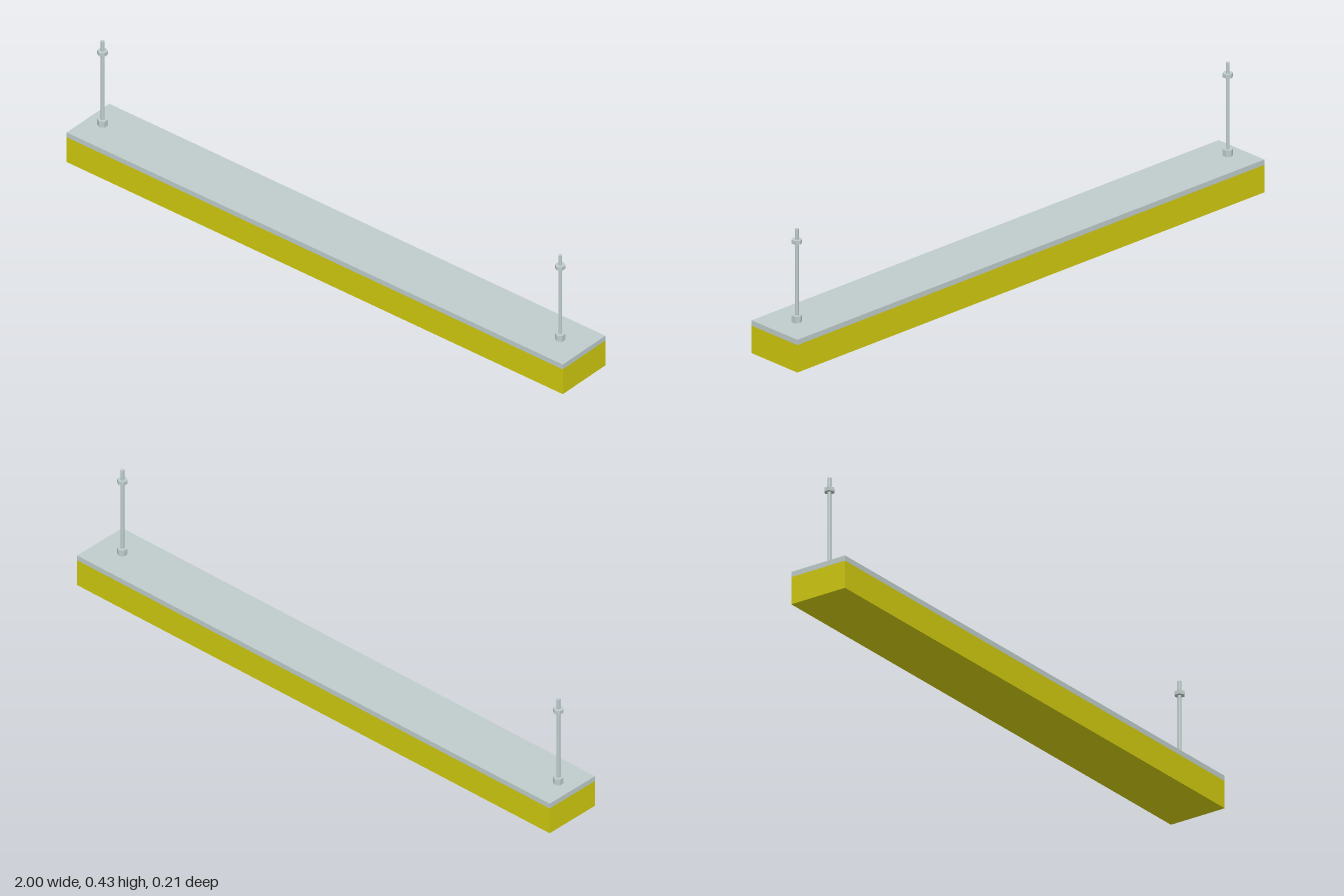
import * as THREE from 'three';

export function createModel() {
  const model = new THREE.Group();
  model.name = 'suspendedBeam';
  const yellow = new THREE.MeshStandardMaterial({ color: 0xcfc90e });
  yellow.name = 'yellow';
  const steel = new THREE.MeshStandardMaterial({ color: 0xbecccb });
  steel.name = 'paleSteel';

  // Place a geometry so that it spans y0 to y1
  const add = (parent, name, geometry, material, y0, y1) => {
    const mesh = new THREE.Mesh(geometry, material);
    mesh.name = name;
    mesh.position.y = (y0 + y1) / 2;
    parent.add(mesh);
  };
  const slab = (name, material, y0, y1) =>
    add(model, name, new THREE.BoxGeometry(2, y1 - y0, 0.206), material, y0, y1);

  // Beam body with its steel top plate
  slab('beamBody', yellow, 0, 0.093);
  slab('topPlate', steel, 0.093, 0.111);

  // Hexagonal nuts have corners along z and flat faces along x
  const hexNut = (parent, name, y0, y1) => {
    const geometry = new THREE.CylinderGeometry(0.017, 0.017, y1 - y0, 6).toNonIndexed();
    geometry.computeVertexNormals();
    add(parent, name, geometry, steel, y0, y1);
  };

  // Two hanger rods, each with a tall base nut and a thin upper nut
  for (const [name, x] of [['rightHanger', -0.941], ['leftHanger', 0.904]]) {
    const hanger = new THREE.Group();
    hanger.name = name;
    hanger.position.x = x;
    add(hanger, 'rod', new THREE.CylinderGeometry(0.006, 0.006, 0.315, 24), steel, 0.111, 0.426);
    hexNut(hanger, 'baseNut', 0.111, 0.133);
    hexNut(hanger, 'upperNut', 0.377, 0.39);
    model.add(hanger);
  }
  return model;
}
